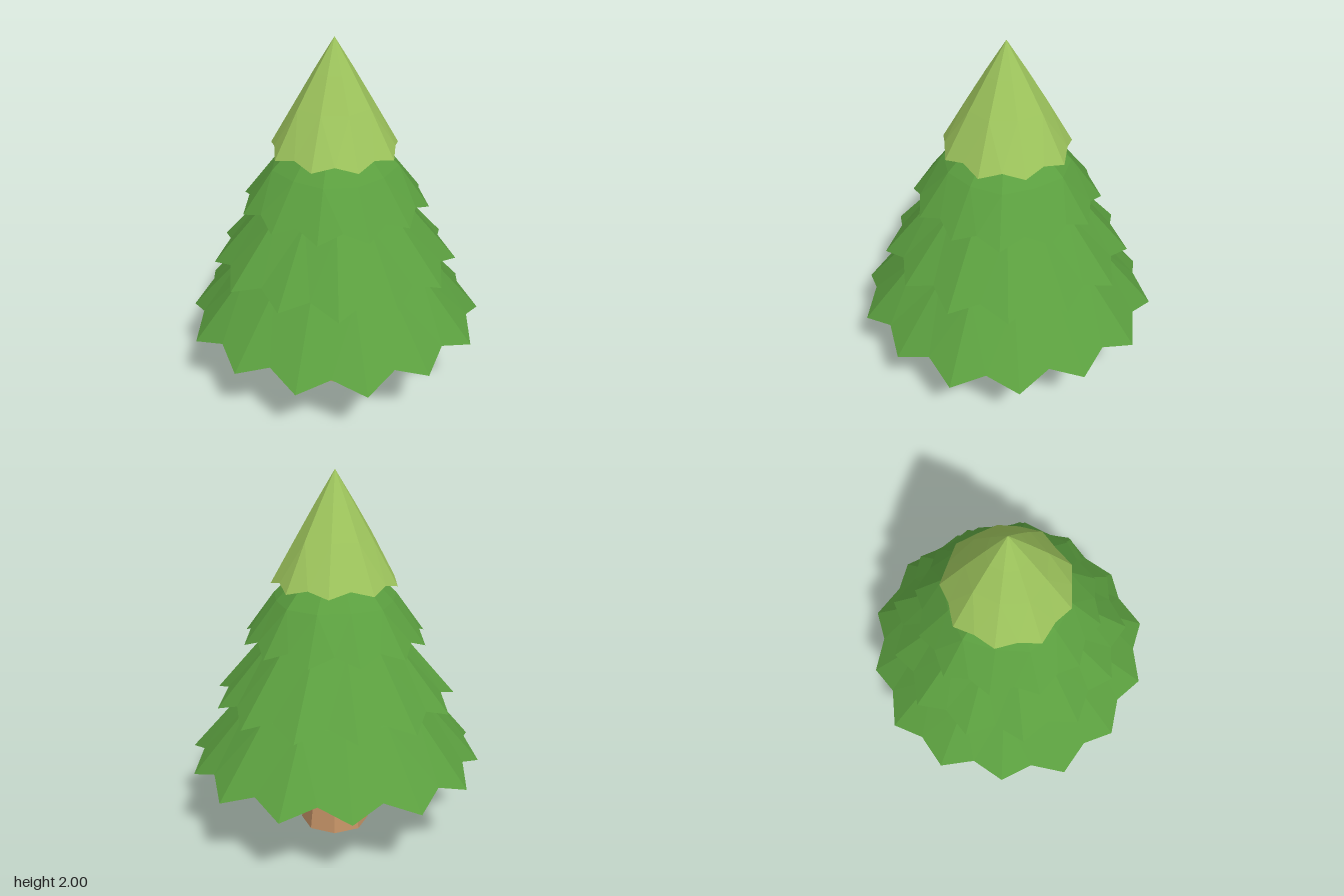
import * as THREE from 'three';

const mat = (name, color, side) =>
  Object.assign(new THREE.MeshStandardMaterial({ color, side, flatShading: true }), { name });

// Corner at angle a; wobble makes each ring slightly uneven.
const corner = (r, y, a, wobble) => {
  const s = r * (1 + wobble * Math.cos(a * 5.3));
  return [s * Math.cos(a), y, s * Math.sin(a)];
};

// Open bough shell with a zigzag rim: [radius, y] for tips, notches and the upper rings.
function boughShell({ count, tip, notch, rings, apexY }) {
  const step = (2 * Math.PI) / count;
  const loop = ([r, y], shift, wobble) =>
    Array.from({ length: count }, (_, i) => corner(r, y, (i + shift) * step, wobble));
  const tips = loop(tip, 0, 0.015);
  const notches = loop(notch, 0.5, 0.015);
  const loops = rings.map((ring) => loop(ring, 0, 0.04));
  const [low, high] = loops;
  const apex = [0, apexY, 0];
  const pos = [];
  const tri = (a, b, c) => pos.push(...a, ...b, ...c);
  for (let i = 0; i < count; i++) {
    const j = (i + 1) % count;
    // rim points
    tri(tips[i], low[i], notches[i]);
    tri(notches[i], low[i], low[j]);
    tri(notches[i], low[j], tips[j]);
    // slope and peak
    tri(low[i], high[i], low[j]);
    tri(low[j], high[i], high[j]);
    tri(high[i], apex, high[j]);
  }
  const g = new THREE.BufferGeometry();
  g.setAttribute('position', new THREE.Float32BufferAttribute(pos, 3));
  g.computeVertexNormals();
  return g;
}

const TIERS = [
  { name: 'lowerBoughs', count: 14, tip: [0.81, 0.41], notch: [0.737, 0.475], rings: [[0.5, 0.77], [0.3, 0.95]], apexY: 1.1 },
  { name: 'middleBoughs', count: 13, tip: [0.66, 0.765], notch: [0.588, 0.825], rings: [[0.36, 1.12], [0.2, 1.26]], apexY: 1.38 },
  { name: 'upperBoughs', count: 12, tip: [0.5, 1.1], notch: [0.455, 1.15], rings: [[0.33, 1.33], [0.2, 1.46]], apexY: 1.6 },
  { name: 'crown', count: 9, tip: [0.343, 1.41], notch: [0.314, 1.44], rings: [[0.205, 1.66], [0.105, 1.83]], apexY: 2 },
];

export function createModel() {
  const tree = new THREE.Group();
  tree.name = 'pineTree';
  const bark = mat('bark', 0xc49266, THREE.FrontSide);
  const needles = mat('needles', 0x5b9f3f, THREE.DoubleSide);
  const freshNeedles = mat('freshNeedles', 0x9dc45c, THREE.DoubleSide);

  // tapered eight-sided trunk
  const trunk = new THREE.Mesh(new THREE.CylinderGeometry(0.12, 0.19, 0.56, 8), bark);
  trunk.name = 'trunk';
  trunk.position.y = 0.28;
  tree.add(trunk);

  // overlapping bough tiers, with the light crown last
  for (const tier of TIERS) {
    const mesh = new THREE.Mesh(boughShell(tier), tier.name === 'crown' ? freshNeedles : needles);
    mesh.name = tier.name;
    tree.add(mesh);
  }
  return tree;
}
